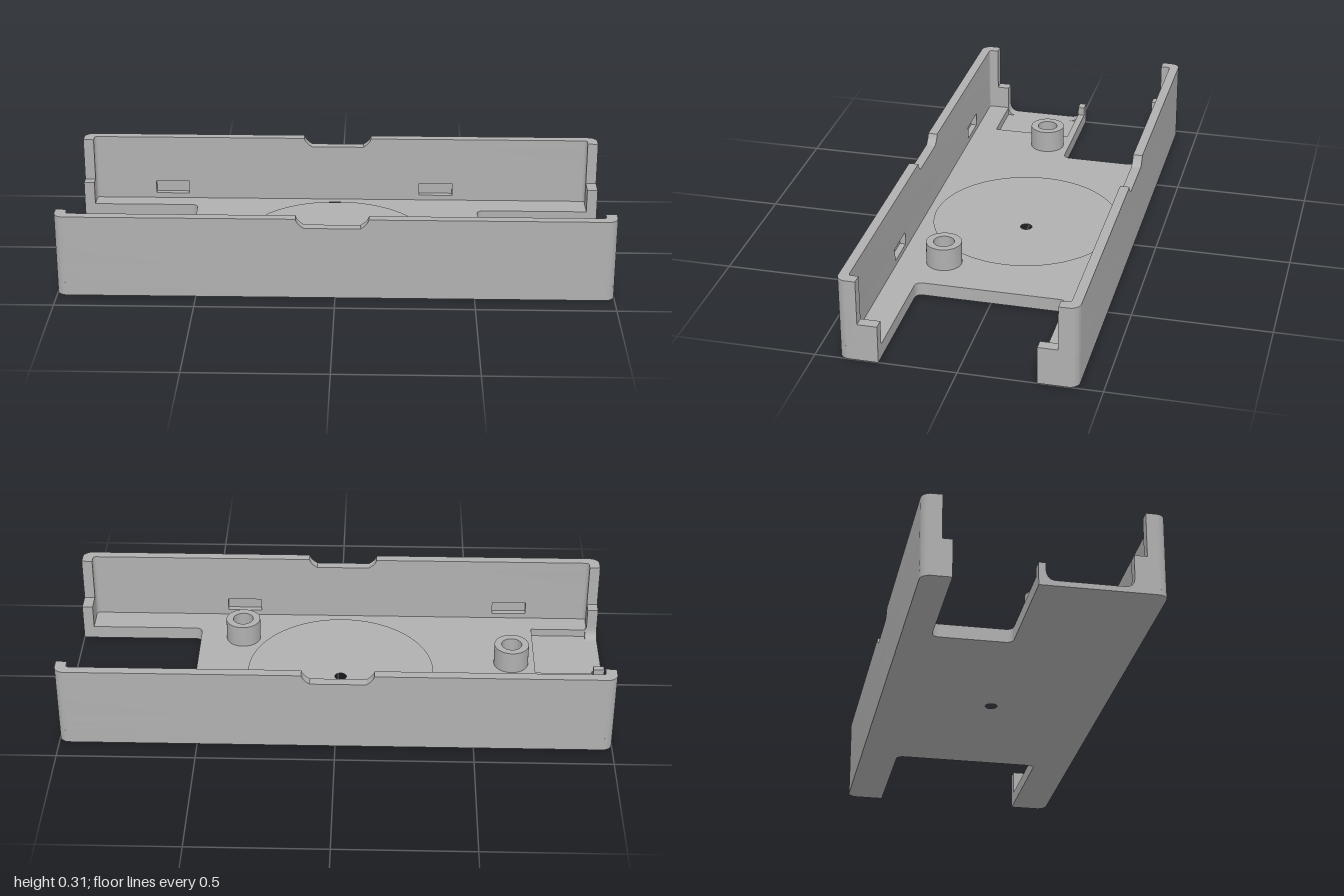
import * as THREE from 'three';
import { toCreasedNormals } from 'three/addons/utils/BufferGeometryUtils.js';

const FLOOR = 0.05, RECESS = 0.02, TOP = 0.305, NOTCH = 0.27;

// Closed outline from [x, z, cornerRadius] points, in plan (shape y = -z)
function outline(points) {
  const shape = new THREE.Shape();
  const v = points.map(([x, z]) => new THREE.Vector2(x, -z));
  points.forEach(([, , r = 0], i) => {
    const p = v[i], a = v[(i + v.length - 1) % v.length], b = v[(i + 1) % v.length];
    const toward = (q, d) => p.clone().add(q.clone().sub(p).setLength(d));
    const s = r ? toward(a, r) : p;
    if (i === 0) shape.moveTo(s.x, s.y); else shape.lineTo(s.x, s.y);
    if (r) {
      const c1 = toward(a, r * 0.45), c2 = toward(b, r * 0.45), e = toward(b, r);
      shape.bezierCurveTo(c1.x, c1.y, c2.x, c2.y, e.x, e.y);
    }
  });
  shape.closePath();
  return shape;
}

function circleHole(shape, x, z, r) {
  shape.holes.push(new THREE.Path().absarc(x, -z, r, 0, Math.PI * 2, true));
  return shape;
}

// Extrude a plan shape between two heights
function slab(shape, y0, y1, curveSegments = 8) {
  const g = new THREE.ExtrudeGeometry(shape, { depth: y1 - y0, bevelEnabled: false, curveSegments });
  g.rotateX(-Math.PI / 2).translate(0, y0, 0);
  return toCreasedNormals(g, 0.6);
}

export function createModel() {
  const model = new THREE.Group();
  model.name = 'enclosureTray';
  const grey = new THREE.MeshStandardMaterial({ color: 0xb0b0b0 });
  grey.name = 'plastic grey';
  const add = (name, geometry) => {
    const m = new THREE.Mesh(geometry, grey);
    m.name = name;
    model.add(m);
    return m;
  };
  const box = (name, x0, x1, y0, y1, z0, z1) =>
    add(name, new THREE.BoxGeometry(x1 - x0, y1 - y0, z1 - z0)
      .translate((x0 + x1) / 2, (y0 + y1) / 2, (z0 + z1) / 2));

  // Floor with an end slot at each side; the upper layer also has the pocket
  const R = 0.035, S = 0.025;
  const floorPlan = (pocket) => outline([
    [-1, -0.415, R], [1, -0.415, R], [1, -0.275], [0.535, -0.275, S],
    [0.535, 0.275, S], [1, 0.275], [1, 0.415, R], [-1, 0.415, R],
    ...(pocket ? [[-1, 0.3], [-0.745, 0.3], [-0.745, 0], [-1, 0]] : []),
    [-1, -0.025], [-0.555, -0.025, S], [-0.555, -0.31, S], [-1, -0.31],
  ]);
  add('floorBottom', slab(circleHole(floorPlan(false), -0.01, 0, 0.022), 0, RECESS, 12));
  add('floorTop', slab(circleHole(floorPlan(true), -0.01, 0, 0.348), RECESS, FLOOR, 40));

  // Long walls with short returned ends, window recesses and a top notch
  const windows = [-0.66, 0.375];
  for (const s of [-1, 1]) {
    const side = s > 0 ? 'front' : 'back';
    const inner = 0.38 * s, deep = 0.402 * s, outer = 0.415 * s, end = 0.345 * s;
    const wallPlan = (recessed) => outline([
      [-1, end], [-1, outer, R], [1, outer, R], [1, end],
      [0.96, end], [0.96, inner, 0.01],
      ...(recessed ? [...windows].reverse().flatMap((x) => [
        [x + 0.065, inner], [x + 0.065, deep], [x - 0.065, deep], [x - 0.065, inner]]) : []),
      [-0.96, inner, 0.01], [-0.96, end],
    ]);
    add(side + 'WallFoot', slab(wallPlan(false), FLOOR, 0.07));
    add(side + 'WallWindows', slab(wallPlan(true), 0.07, 0.12));
    add(side + 'WallUpper', slab(wallPlan(false), 0.12, NOTCH));
    for (const e of [-1, 1]) {
      const cut = -0.01 + e * 0.13, foot = -0.01 + e * 0.1;
      add(side + 'WallRim', slab(outline([
        [cut, inner], [cut, outer], [e, outer, R], [e, end],
        [0.96 * e, end], [0.96 * e, inner, 0.01],
      ]), NOTCH, TOP));
      // Sloped, slightly hollow end of the notch
      const ramp = new THREE.Shape();
      ramp.moveTo(cut, NOTCH);
      ramp.lineTo(foot, NOTCH);
      ramp.quadraticCurveTo(cut - e * 0.004, NOTCH + 0.016, cut, TOP);
      ramp.closePath();
      const g = new THREE.ExtrudeGeometry(ramp, { depth: 0.035, bevelEnabled: false, curveSegments: 6 });
      add(side + 'NotchRamp', toCreasedNormals(g.translate(0, 0, s > 0 ? 0.38 : -0.415), 0.6));
    }
    // Low step beside the open slot at the left end
    box(side + 'LeftStep', 0.96, 1, FLOOR, 0.14, Math.min(0.275 * s, end), Math.max(0.275 * s, end));
  }
  box('backRightStep', -1, -0.96, FLOOR, 0.14, -0.345, -0.31);
  box('frontRightStep', -1, -0.96, FLOOR, 0.14, 0.3, 0.345);
  box('pocketNub', -1, -0.96, FLOOR, 0.083, -0.025, 0);

  // Hollow fillets where the pocket meets its two end pieces
  for (const [z, d] of [[0, 1], [0.3, -1]]) {
    const f = new THREE.Shape();
    f.moveTo(-z, RECESS);
    f.lineTo(-z - d * 0.035, RECESS);
    f.quadraticCurveTo(-z, RECESS, -z, 0.06);
    f.closePath();
    const g = new THREE.ExtrudeGeometry(f, { depth: 0.045, bevelEnabled: false, curveSegments: 8 });
    add('pocketFillet', toCreasedNormals(g.rotateY(Math.PI / 2).translate(-1, 0, 0), 0.6));
  }

  // Hollow screw bosses
  for (const [x, z] of [[-0.655, 0.063], [0.37, 0.216]]) {
    const ring = new THREE.Shape().absarc(x, -z, 0.065, 0, Math.PI * 2, false);
    add('screwBoss', slab(circleHole(ring, x, z, 0.038), FLOOR, 0.135, 20));
  }
  return model;
}
